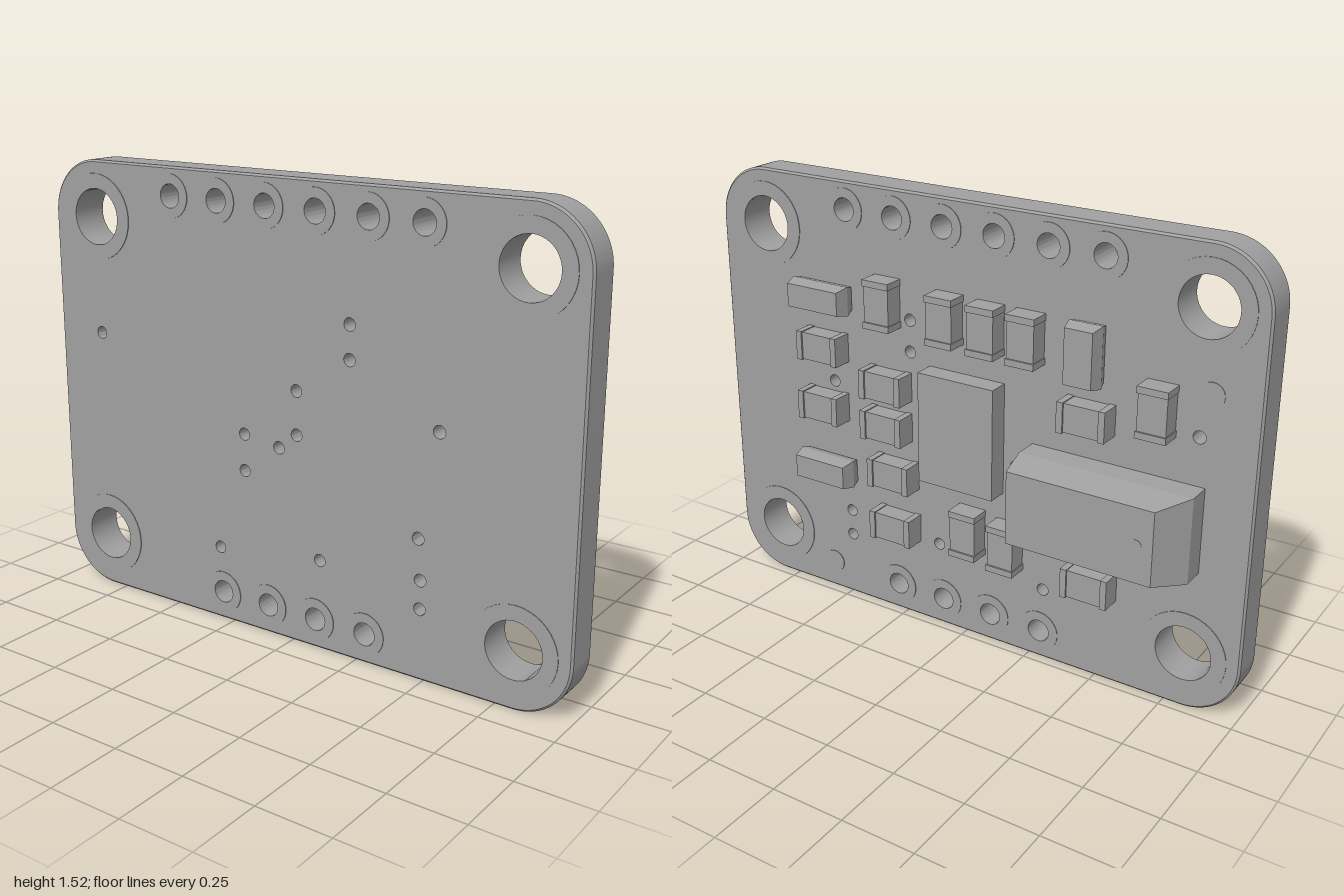
import * as THREE from 'three';
import { toCreasedNormals } from 'three/addons/utils/BufferGeometryUtils.js';

const grey = new THREE.MeshStandardMaterial({ color: 0xa0a0a0 });
grey.name = 'neutral grey';

const BACK = 0.03, FRONT = 0.154, HEIGHT = 1.525, R = 0.19;

// Hole centres [x, y]
const mountHoles = [[-0.81, 0.195], [0.81, 0.195], [-0.81, 1.335], [0.81, 1.335]];
const pinHoles = [];
for (let i = 0; i < 6; i++) pinHoles.push([-0.48 + i * 0.191, 1.43]);
for (let i = 1; i < 5; i++) pinHoles.push([-0.48 + i * 0.191, 0.1]);
const vias = [[-0.81, 0.935], [0.22, 1.1], [0.22, 0.99], [0.54, 0.82], [0.02, 0.86],
  [0.02, 0.715], [-0.05, 0.66], [-0.19, 0.68], [-0.19, 0.555], [0.475, 0.47],
  [-0.3, 0.26], [0.11, 0.31], [0.485, 0.335], [0.485, 0.24]];

function add(parent, name, geometry, x = 0, y = 0, z = 0) {
  const mesh = new THREE.Mesh(geometry, grey);
  mesh.name = name;
  mesh.position.set(x, y, z);
  parent.add(mesh);
  return mesh;
}

function circle(x, y, r) {
  return new THREE.Path().absarc(x, y, r, 0, Math.PI * 2, true);
}

// Rounded board with drilled holes and a narrow chamfer round the rim
function boardGeometry() {
  const s = new THREE.Shape();
  s.absarc(1 - R, R, R, -Math.PI / 2, 0);
  s.absarc(1 - R, HEIGHT - R, R, 0, Math.PI / 2);
  s.absarc(R - 1, HEIGHT - R, R, Math.PI / 2, Math.PI);
  s.absarc(R - 1, R, R, Math.PI, Math.PI * 1.5);
  for (const [x, y] of mountHoles) s.holes.push(circle(x, y, 0.095));
  for (const [x, y] of pinHoles) s.holes.push(circle(x, y, 0.039));
  for (const [x, y] of vias) s.holes.push(circle(x, y, 0.021));
  const depth = FRONT - BACK, c = 0.007;
  const g = new THREE.ExtrudeGeometry(s, { depth, steps: 3, bevelEnabled: false, curveSegments: 20 });
  const p = g.attributes.position;
  const levels = [0, c, depth - c, depth];
  for (let i = 0; i < p.count; i++) {
    const level = Math.round(p.getZ(i) / depth * 3);
    const x = p.getX(i), y = p.getY(i);
    const cx = THREE.MathUtils.clamp(x, R - 1, 1 - R);
    const cy = THREE.MathUtils.clamp(y, R, HEIGHT - R);
    const onRim = Math.hypot(x - cx, y - cy) > R - 0.01;
    const k = onRim && (level === 0 || level === 3) ? 1 - c / R : 1;
    p.setXYZ(i, cx + (x - cx) * k, cy + (y - cy) * k, levels[level]);
  }
  return toCreasedNormals(g, 0.5);
}

// Thin copper ring round a hole
function ringGeometry(outer, inner) {
  const s = new THREE.Shape().absarc(0, 0, outer, 0, Math.PI * 2);
  s.holes.push(circle(0, 0, inner));
  return new THREE.ExtrudeGeometry(s, { depth: 0.003, bevelEnabled: false, curveSegments: 20 });
}

// Solid lofted through rectangles [z, x0, x1, y0, y1], running towards -z
function loft(rects) {
  const v = [];
  const rings = rects.map(([z, a, b, c, d]) => [[a, c, z], [b, c, z], [b, d, z], [a, d, z]]);
  const quad = (a, b, c, d) => v.push(...a, ...b, ...c, ...a, ...c, ...d);
  quad(...rings[0]);
  for (let i = 0; i + 1 < rings.length; i++) {
    const A = rings[i], B = rings[i + 1];
    for (let j = 0; j < 4; j++) {
      const n = (j + 1) % 4;
      quad(A[j], B[j], B[n], A[n]);
    }
  }
  const L = rings[rings.length - 1];
  quad(L[0], L[3], L[2], L[1]);
  const g = new THREE.BufferGeometry();
  g.setAttribute('position', new THREE.Float32BufferAttribute(v, 3));
  g.computeVertexNormals();
  return g;
}

// Two-terminal chip with end caps, long along x unless upright
function addChip(parent, x, y, upright) {
  const chip = new THREE.Group();
  chip.name = 'chipComponent';
  const h = 0.067;
  add(chip, 'chipBody', new THREE.BoxGeometry(0.125, 0.096, h), 0, 0, -h / 2);
  for (const side of [-1, 1]) {
    add(chip, 'chipTerminal', new THREE.BoxGeometry(0.022, 0.102, h + 0.006),
      side * 0.072, 0, -(h + 0.006) / 2);
  }
  chip.position.set(x, y, BACK);
  if (upright) chip.rotation.z = Math.PI / 2;
  parent.add(chip);
}

// Bent lead running outwards along +x, then down to the board
function leadGeometry() {
  const s = new THREE.Shape();
  [[-0.01, 0.026], [-0.01, 0.042], [0.018, 0.042], [0.03, 0.014], [0.05, 0.014],
    [0.05, 0], [0.02, 0], [0.01, 0.026]].forEach(([a, b], i) => i ? s.lineTo(a, b) : s.moveTo(a, b));
  const g = new THREE.ExtrudeGeometry(s, { depth: 0.03, bevelEnabled: false });
  g.translate(0, 0, -0.015);
  g.rotateX(-Math.PI / 2);
  return g;
}

// Moulded package, long along y, with leads at the given offsets on each side
function addPackage(parent, x, y, w, l, plusLeads, minusLeads, turn) {
  const pack = new THREE.Group();
  pack.name = 'leadedPackage';
  const rect = (z, inset) => [z, inset - w / 2, w / 2 - inset, inset - l / 2, l / 2 - inset];
  add(pack, 'packageBody', loft([rect(-0.005, 0.01), rect(-0.04, 0), rect(-0.088, 0.01)]));
  const lead = leadGeometry();
  lead.rotateX(Math.PI);
  for (const o of plusLeads) add(pack, 'lead', lead, w / 2, o, 0);
  for (const o of minusLeads) add(pack, 'lead', lead, -w / 2, o, 0).rotation.z = Math.PI;
  for (const m of pack.children) {
    if (m.name === 'lead') m.position.z = 0;
  }
  pack.position.set(x, y, BACK);
  pack.rotation.z = turn;
  parent.add(pack);
}

export function createModel() {
  const model = new THREE.Group();
  model.name = 'circuitBoard';
  add(model, 'board', boardGeometry(), 0, 0, BACK);

  // Copper rings on both faces
  const bigRing = ringGeometry(0.145, 0.095), smallRing = ringGeometry(0.072, 0.039);
  for (const z of [BACK - 0.0025, FRONT - 0.0005]) {
    for (const [x, y] of mountHoles) add(model, 'mountRing', bigRing, x, y, z);
    for (const [x, y] of pinHoles) add(model, 'pinRing', smallRing, x, y, z);
  }

  // Alignment dots on the component side
  const dot = new THREE.CylinderGeometry(0.04, 0.04, 0.003, 24).rotateX(Math.PI / 2);
  for (const [x, y] of [[-0.84, 1.075], [0.57, 0.106]]) add(model, 'alignmentDot', dot, x, y, BACK - 0.001);

  // Small chips
  const flat = [[0.56, 0.953], [0.565, 0.735], [0.3, 0.866], [0.3, 0.72], [0.275, 0.547],
    [0.27, 0.35], [-0.453, 0.923], [-0.485, 0.355]];
  const upright = [[0.307, 1.15], [0.064, 1.14], [-0.09, 1.136], [-0.235, 1.135],
    [-0.685, 1.0], [-0.025, 0.408], [-0.172, 0.395]];
  for (const [x, y] of flat) addChip(model, x, y, false);
  for (const [x, y] of upright) addChip(model, x, y, true);

  // Main chip
  add(model, 'mainChip', new THREE.BoxGeometry(0.285, 0.385, 0.072), 0, 0.765, BACK - 0.036);

  // Leaded packages
  addPackage(model, 0.555, 1.133, 0.1, 0.225, [0], [-0.075, 0.075], Math.PI / 2);
  addPackage(model, 0.555, 0.503, 0.1, 0.225, [-0.075, 0.075], [0], Math.PI / 2);
  addPackage(model, -0.445, 1.13, 0.115, 0.2, [-0.07, 0.07], [-0.07, 0, 0.07], 0);

  // Tall sensor block with a sloping end and a marker dot
  add(model, 'sensorBlock', loft([[BACK, -0.84, -0.248, 0.49, 0.777],
    [-0.05, -0.84, -0.248, 0.49, 0.777], [-0.157, -0.768, -0.265, 0.508, 0.757]]));
  add(model, 'markerDot', new THREE.CylinderGeometry(0.018, 0.018, 0.003, 20).rotateX(Math.PI / 2),
    -0.714, 0.635, -0.157);
  return model;
}
